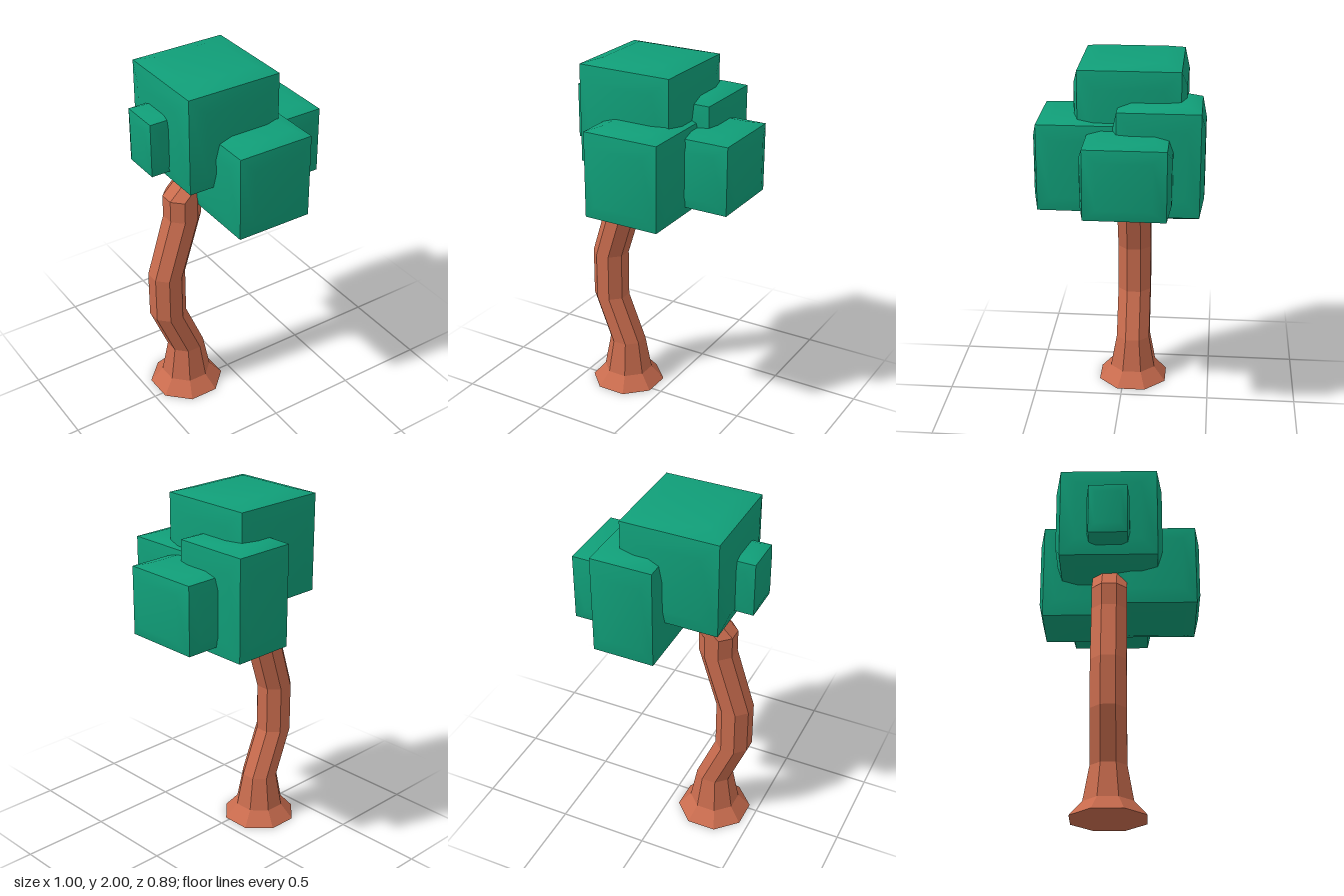
import * as THREE from 'three';

// Unit cube whose faces swell outward: each face is a raised inner square with sloped borders
function puffedCube(inset = 1 / 6, bulge = 0.05) {
  const pos = [], index = [];
  const corners = [[-1, -1], [1, -1], [1, 1], [-1, 1]];
  for (let axis = 0; axis < 3; axis++) {
    for (const side of [-1, 1]) {
      const base = pos.length / 3;
      for (const [half, height] of [[0.5, 0.5], [0.5 - inset, 0.5 + bulge]]) {
        for (const [u, v] of corners) {
          const p = [0, 0, 0];
          p[axis] = side * height;
          p[(axis + 1) % 3] = u * half * side; // mirrored on the negative side to keep the winding
          p[(axis + 2) % 3] = v * half;
          pos.push(...p);
        }
      }
      const quad = (a, b, c, d) => index.push(base + a, base + b, base + c, base + a, base + c, base + d);
      quad(4, 5, 6, 7);
      for (let i = 0; i < 4; i++) {
        const j = (i + 1) % 4;
        quad(i, j, j + 4, i + 4);
      }
    }
  }
  const geo = new THREE.BufferGeometry();
  geo.setAttribute('position', new THREE.Float32BufferAttribute(pos, 3));
  geo.setIndex(index);
  return geo;
}

// Eight-sided trunk bent through rings of [x, y, half width]
function trunkGeometry(rings, z) {
  const n = rings.length - 1;
  const geo = new THREE.CylinderGeometry(1, 1, 1, 8, n, false, Math.PI / 8);
  const p = geo.attributes.position;
  for (let i = 0; i < p.count; i++) {
    const [x, y, half] = rings[Math.round((p.getY(i) + 0.5) * n)];
    const r = half / Math.cos(Math.PI / 8);
    p.setXYZ(i, x + p.getX(i) * r, y, z + p.getZ(i) * r);
  }
  geo.computeVertexNormals();
  return geo;
}

export function createModel() {
  const model = new THREE.Group();
  model.name = 'tree';
  const bark = new THREE.MeshStandardMaterial({ color: 0xc96c4e, flatShading: true });
  const leaf = new THREE.MeshStandardMaterial({ color: 0x109e78 });

  // Trunk with flared foot
  const trunk = new THREE.Mesh(trunkGeometry([
    [-0.255, 0, 0.193], [-0.255, 0.08, 0.128], [-0.255, 0.27, 0.095],
    [-0.363, 0.535, 0.094], [-0.363, 0.805, 0.094], [-0.255, 1.15, 0.095],
    [-0.255, 1.275, 0.095], [-0.01, 1.51, 0.095],
  ], -0.053), bark);
  trunk.name = 'trunk';
  model.add(trunk);

  // Leaf blocks: name, min corner, max corner (before the swelling)
  const blocks = [
    ['topLeaves', [-0.362, 1.443, -0.323], [0.171, 1.975, 0.211]],
    ['frontLeaves', [-0.203, 1.233, -0.008], [0.224, 1.7, 0.422]],
    ['backLeaves', [-0.055, 1.236, -0.43], [0.286, 1.792, 0]],
    ['leftLeaves', [0.04, 1.284, -0.27], [0.479, 1.658, 0.156]],
    ['rightLeaves', [-0.486, 1.509, -0.163], [-0.17, 1.805, 0.049]],
  ];
  const blockGeo = puffedCube();
  blockGeo.computeVertexNormals();
  const canopy = new THREE.Group();
  canopy.name = 'canopy';
  for (const [name, min, max] of blocks) {
    const box = new THREE.Box3(new THREE.Vector3(...min), new THREE.Vector3(...max));
    const mesh = new THREE.Mesh(blockGeo, leaf);
    mesh.name = name;
    box.getCenter(mesh.position);
    box.getSize(mesh.scale);
    canopy.add(mesh);
  }
  model.add(canopy);
  return model;
}
